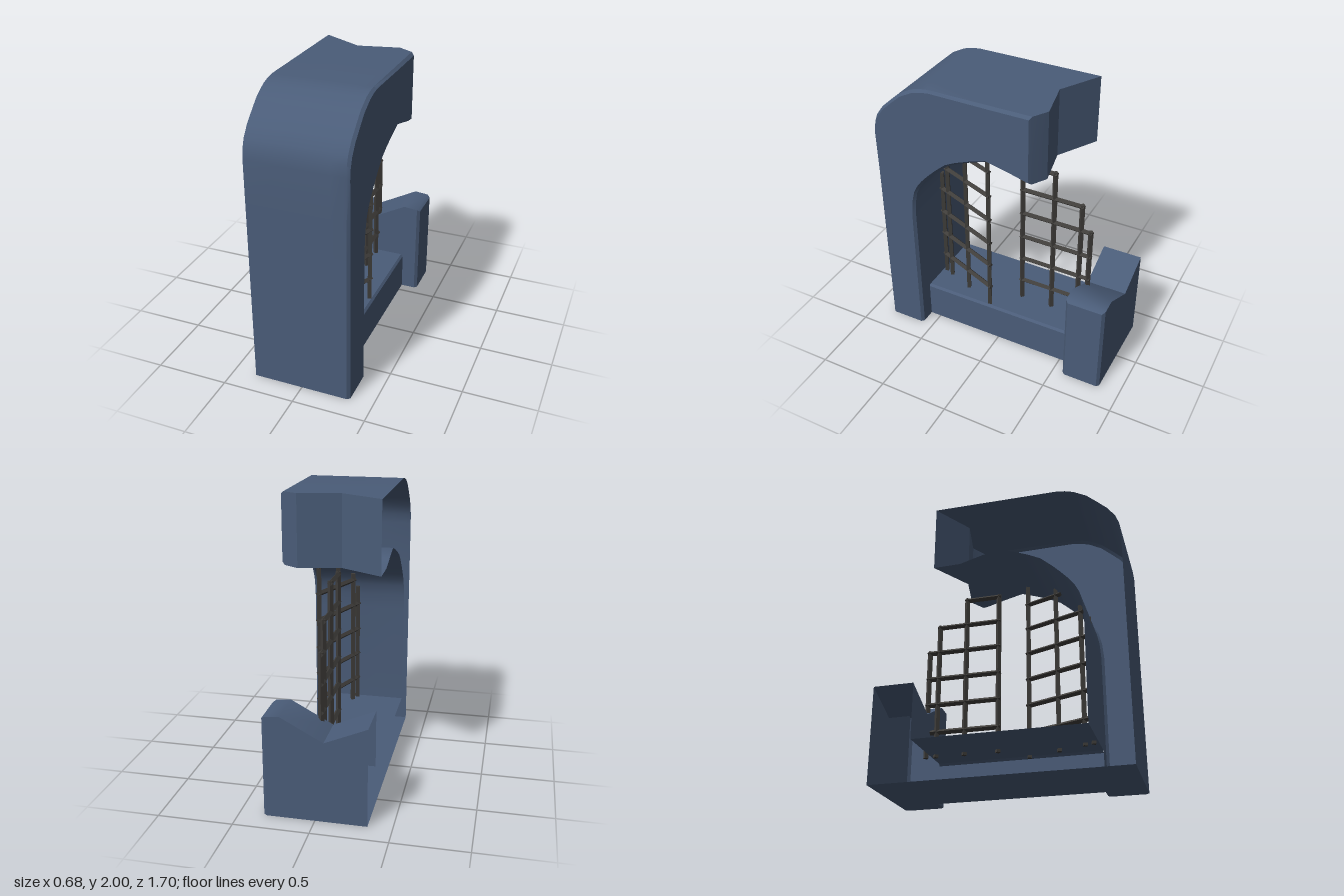
import * as THREE from 'three';
import { toCreasedNormals } from 'three/addons/utils/BufferGeometryUtils.js';

const XS = [-0.34, -0.06, 0.22, 0.32, 0.34]; // columns across the depth of the wall
const SILL = 0.28, BEVEL = 0.018;
// Section: out along the outer side, back along the inner side.
// [column, side, lift]: lifted points start at the sill height.
const SECTION = [
  [0, 0], [1, 0], [2, 0], [3, 0], [4, 0],
  [4, 1], [3, 1], [2, 1], [2, 1, SILL], [1, 1, SILL], [0, 1, SILL],
];

// Mesh from quads, with smooth curves and sharp corners
function quadMesh(quads, material, name) {
  const pos = [];
  const tri = (a, b, c) => {
    const area = new THREE.Vector3().subVectors(b, a).cross(new THREE.Vector3().subVectors(c, a)).length();
    if (area > 1e-7) for (const p of [a, b, c]) pos.push(p.x, p.y, p.z);
  };
  for (const [a, b, c, d] of quads) { tri(a, b, c); tri(a, c, d); }
  const g = new THREE.BufferGeometry();
  g.setAttribute('position', new THREE.Float32BufferAttribute(pos, 3));
  const mesh = new THREE.Mesh(toCreasedNormals(g, 0.6), material);
  mesh.name = name;
  return mesh;
}

// Open-backed shell swept through stations [outer z, outer y, inner z, inner y];
// a station may be a function of the column, for a broken end.
function brokenShell(stations, flip, material, name) {
  const rows = stations.map((st, i) => SECTION.map(([k, side, lift = 0]) => {
    const [oz, oy, iz, iy] = typeof st === 'function' ? st(k) : st;
    const w = Math.hypot(oz - iz, oy - iy);
    const inset = k === 4 ? BEVEL / w : 0;
    const t = side ? 1 - inset : inset;
    const y = oy + (iy - oy) * t + (i === 0 ? lift : 0);
    return new THREE.Vector3(XS[k], y, oz + (iz - oz) * t);
  }));
  const quads = [];
  for (let i = 0; i < rows.length - 1; i++)
    for (let j = 0; j < SECTION.length - 1; j++)
      quads.push([rows[i][j], rows[i][j + 1], rows[i + 1][j + 1], rows[i + 1][j]]);
  // broken end cap
  const end = rows[rows.length - 1], inner = [10, 9, 8, 6, 5];
  for (let k = 0; k < 4; k++) quads.push([end[k], end[k + 1], end[inner[k + 1]], end[inner[k]]]);
  if (flip) quads.forEach(q => q.reverse());
  return quadMesh(quads, material, name);
}

function createModel() {
  const stone = new THREE.MeshStandardMaterial({ color: 0x4a5c78, side: THREE.DoubleSide });
  stone.name = 'blue stone';
  const iron = new THREE.MeshStandardMaterial({ color: 0x3f3d3a, flatShading: true });
  iron.name = 'dark iron';
  const model = new THREE.Group();
  model.name = 'brokenWindow';

  // Front pier and pointed arch, snapped off past the apex
  const cut = [-0.46, -0.3, -0.36, -0.3, -0.285];
  model.add(brokenShell([
    [0.85, 0, 0.58, 0],
    [0.85, 1.0, 0.58, 1.0],
    [0.85, 1.3, 0.572, 1.11],
    [0.85, 1.6, 0.555, 1.19],
    [0.842, 1.67, 0.53, 1.24],
    [0.82, 1.73, 0.49, 1.295],
    [0.77, 1.8, 0.44, 1.35],
    [0.7, 1.865, 0.38, 1.41],
    [0.63, 1.927, 0.3, 1.48],
    [0.54, 1.975, 0.22, 1.52],
    [0.48, 1.992, 0.12, 1.56],
    [0.42, 2, 0, 1.6],
    [0, 2, -0.14, 1.562],
    [-0.27, 2, -0.27, 1.525],
    k => [cut[k], 2, cut[k], 1.522],
  ], false, stone, 'brokenArch'));

  // Stump of the back pier with a chipped top
  const stump = [0.67, 0.55, 0.7, 0.69, 0.675];
  model.add(brokenShell([
    [-0.85, 0, -0.57, 0],
    k => [-0.85, stump[k], -0.57, stump[k]],
  ], true, stone, 'backPierStump'));

  // Sill between the piers
  const profile = [[0.22, 0], [0.22, SILL - 0.015], [0.205, SILL], [-0.34, SILL]];
  const sill = [];
  for (let i = 0; i < 3; i++) {
    const v = (p, z) => new THREE.Vector3(p[0], p[1], z);
    const [a, b] = [profile[i], profile[i + 1]];
    sill.push([v(a, 0.58), v(a, -0.57), v(b, -0.57), v(b, 0.58)]);
  }
  model.add(quadMesh(sill, stone, 'sill'));

  // Underside, notched where the sill steps back
  const plan = new THREE.Shape([
    [-0.34, -0.85], [0.322, -0.85], [0.34, -0.832], [0.34, -0.588], [0.322, -0.57], [0.22, -0.57],
    [0.22, 0.58], [0.322, 0.58], [0.34, 0.598], [0.34, 0.832], [0.322, 0.85], [-0.34, 0.85],
  ].map(([x, z]) => new THREE.Vector2(x, z)));
  const base = new THREE.Mesh(new THREE.ShapeGeometry(plan).rotateX(Math.PI / 2), stone);
  base.name = 'underside';
  model.add(base);

  // Lattice panel: uprights [distance from hinge, top], rails trimmed to the uprights
  function lattice(name, uprights, rails, dir) {
    const panel = new THREE.Group();
    panel.name = name;
    const bar = (len, label) => {
      const m = new THREE.Mesh(new THREE.CylinderGeometry(0.019, 0.019, len, 4), iron);
      m.name = label;
      panel.add(m);
      return m;
    };
    for (const [d, top] of uprights) {
      const len = top - SILL + 0.02;
      bar(len, 'upright').position.set(0, top - len / 2, dir * d);
    }
    for (const [y, from] of rails) {
      const len = 0.505 - from + 0.03;
      const m = bar(len, 'rail');
      m.rotation.x = Math.PI / 2;
      m.position.set(0, y, dir * (from + 0.505) / 2);
    }
    return panel;
  }

  const lower = [0.44, 0.64, 0.835, 1.035].map(y => [y, 0]);
  const shut = lattice('backLattice',
    [[0, 1.05], [0.07, 1.245], [0.27, 1.44], [0.505, 1.44]],
    [...lower, [1.23, 0.07], [1.425, 0.27]], 1);
  shut.position.set(0.012, 0, -0.595);
  model.add(shut);

  // Front panel stands ajar
  const ajar = lattice('frontLattice',
    [[0, 1.17], [0.065, 1.28], [0.265, 1.475], [0.505, 1.57]],
    [...lower, [1.23, 0.06], [1.425, 0.24]], -1);
  ajar.position.set(0.005, 0, 0.553);
  ajar.rotation.y = -0.37;
  model.add(ajar);

  return model;
}

export { createModel };
